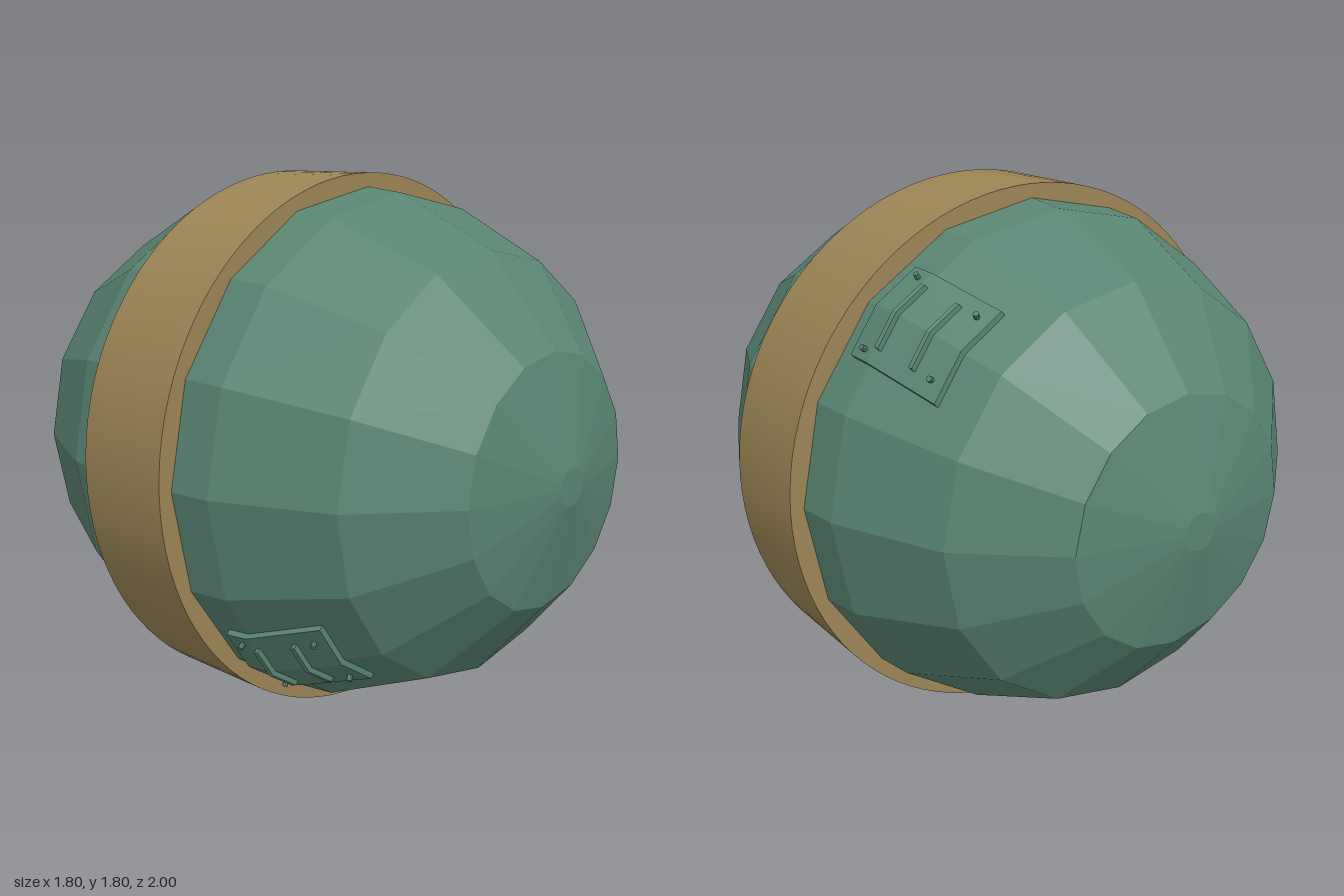
import * as THREE from 'three';

const green = new THREE.MeshStandardMaterial({ name: 'green shell', color: 0x598472, flatShading: true });
const brass = new THREE.MeshStandardMaterial({ name: 'brass band', color: 0x9c8556 });

const SIDES = 16;
const SLOPE = Math.tan(Math.PI / SIDES);
// Half profile of the shell: [distance from the middle, radius]
const PROFILE = [[0, 0.87], [0.18, 0.855], [0.32, 0.84], [0.68, 0.68], [0.92, 0.4], [1, 0.06], [1, 0]];

function shellRadius(z) {
  const d = Math.abs(z);
  for (let i = 1; i < PROFILE.length; i++) {
    const [z0, r0] = PROFILE[i - 1], [z1, r1] = PROFILE[i];
    if (d <= z1) return r0 + (r1 - r0) * (d - z0) / (z1 - z0);
  }
  return 0;
}

// Height of the faceted surface beside the shell edge that lies along local +y
const surface = (x, z) => shellRadius(z) - Math.abs(x) * SLOPE;

function add(parent, name, geometry, material) {
  const mesh = new THREE.Mesh(geometry, material);
  mesh.name = name;
  parent.add(mesh);
  return mesh;
}

// A box bent over the shell's facets
function wrappedBox(halfWidth, zBack, zMiddle, zFront, lift) {
  const geometry = new THREE.BoxGeometry(2, 1, 2, 2, 1, 2);
  const p = geometry.attributes.position;
  for (let i = 0; i < p.count; i++) {
    const x = p.getX(i) * halfWidth;
    const z = [zBack, zMiddle, zFront][Math.round(p.getZ(i)) + 1];
    p.setXYZ(i, x, surface(x, z) + (p.getY(i) > 0 ? lift : -0.01), z);
  }
  geometry.computeVertexNormals();
  return geometry;
}

// Service panel with two bars and four rivets
function makePanel(name) {
  const panel = new THREE.Group();
  panel.name = name;
  add(panel, 'panelPlate', wrappedBox(0.163, -0.56, -0.32, -0.24, 0.018), green);
  for (const z of [-0.34, -0.46]) {
    add(panel, 'panelBar', wrappedBox(0.115, z - 0.006, z, z + 0.006, 0.034), green);
  }
  for (const [z, x, tilt] of [[-0.29, 0.13, -0.1], [-0.52, 0.11, -0.42]]) {
    for (const side of [-1, 1]) {
      const rivet = add(panel, 'rivet', new THREE.CylinderGeometry(0.009, 0.009, 0.04, 8), green);
      rivet.position.set(side * x, surface(x, z) + 0.016, z);
      rivet.rotation.set(tilt, 0, -side * Math.PI / SIDES);
    }
  }
  return panel;
}

export function createModel() {
  const model = new THREE.Group();
  model.name = 'bandedCapsule';
  const body = new THREE.Group();
  body.name = 'body';
  body.position.y = 0.9;
  model.add(body);

  // Faceted shell
  const points = [
    ...PROFILE.slice(1).reverse().map(([z, r]) => new THREE.Vector2(r, -z)),
    ...PROFILE.map(([z, r]) => new THREE.Vector2(r, z)),
  ];
  add(body, 'shell', new THREE.LatheGeometry(points, SIDES).rotateX(Math.PI / 2), green);

  // Smooth central band
  add(body, 'band', new THREE.CylinderGeometry(0.9, 0.9, 0.36, 96).rotateX(Math.PI / 2), brass);

  // Two panels on opposite sides
  const upper = makePanel('upperBackPanel');
  upper.rotation.z = -Math.PI / 4;
  const lower = makePanel('lowerFrontPanel');
  lower.rotation.set(0, Math.PI, Math.PI * 0.75, 'ZYX');
  body.add(upper, lower);
  return model;
}
